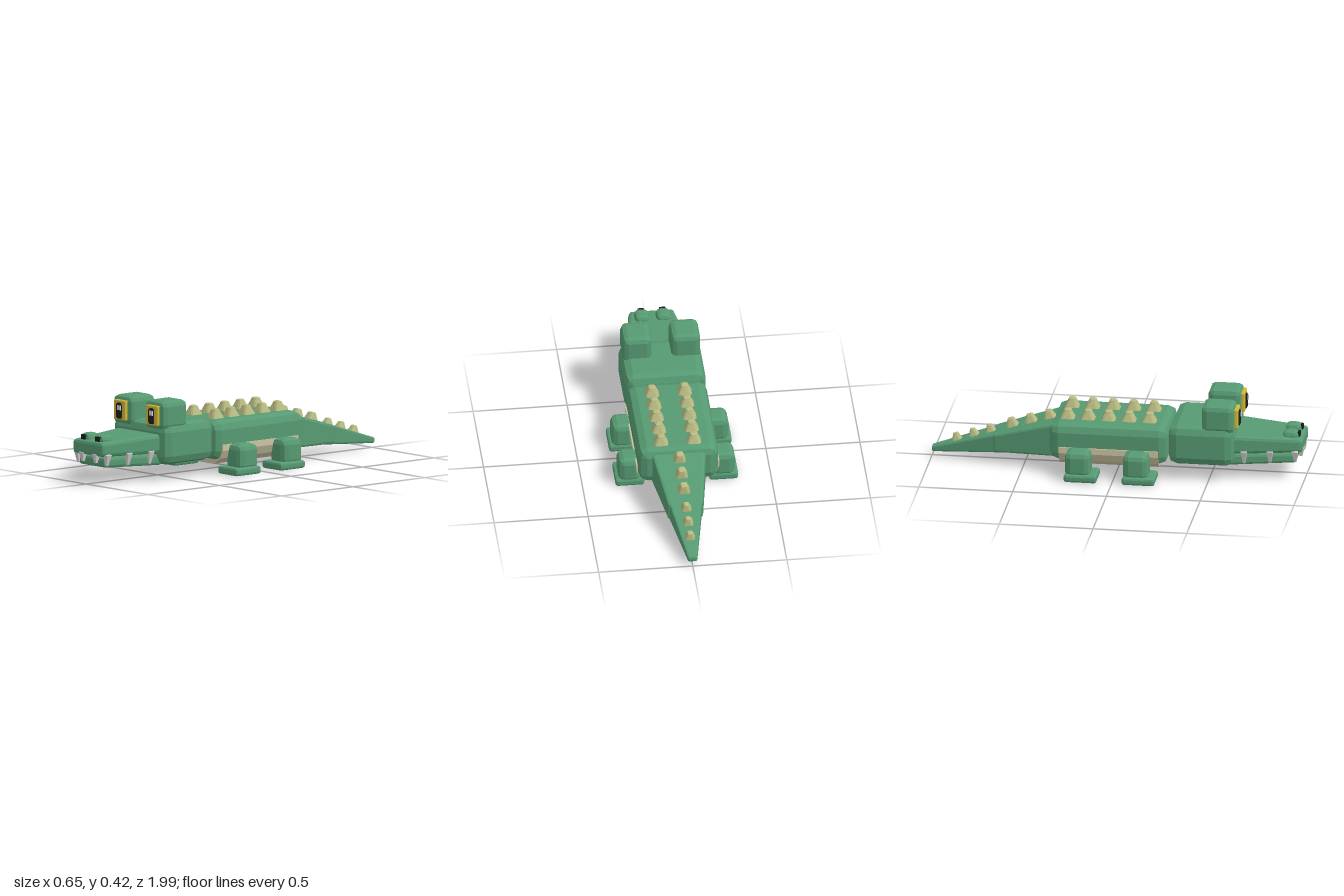
import * as THREE from 'three';

const mat = (name, color) => {
  const m = new THREE.MeshStandardMaterial({ color });
  m.name = name;
  m.flatShading = true;
  return m;
};

// Rounded rectangle ring, counter-clockwise seen from +z
function ring(z, hw, y0, y1, r) {
  const pts = [];
  const corners = [[hw - r, y0 + r, -90], [hw - r, y1 - r, 0], [-hw + r, y1 - r, 90], [-hw + r, y0 + r, 180]];
  for (const [cx, cy, start] of corners) {
    for (let k = 0; k <= 2; k++) {
      const a = THREE.MathUtils.degToRad(start + k * 45);
      pts.push([cx + Math.cos(a) * r, cy + Math.sin(a) * r, z]);
    }
  }
  return pts;
}

// Bevelled block between a back and a front rectangle: [z, halfWidth, bottom, top]
function block(back, front, r) {
  const rings = [];
  const add = ([z, hw, y0, y1], deg, dir) => {
    const a = THREE.MathUtils.degToRad(deg);
    const e = r * (1 - Math.sin(a));
    rings.push(ring(z + dir * r * (1 - Math.cos(a)), hw - e, y0 + e, y1 - e, r - e + r * 0.03));
  };
  for (const d of [0, 45, 90]) add(back, d, 1);
  for (const d of [90, 45, 0]) add(front, d, -1);
  const pos = [];
  const tri = (a, b, c) => pos.push(...a, ...b, ...c);
  const n = rings[0].length;
  for (let s = 0; s < rings.length - 1; s++) {
    for (let i = 0; i < n; i++) {
      const j = (i + 1) % n, a = rings[s], b = rings[s + 1];
      tri(a[i], a[j], b[j]);
      tri(a[i], b[j], b[i]);
    }
  }
  const first = rings[0], last = rings[rings.length - 1];
  for (let i = 1; i < n - 1; i++) {
    tri(last[0], last[i], last[i + 1]);
    tri(first[0], first[i + 1], first[i]);
  }
  const g = new THREE.BufferGeometry();
  g.setAttribute('position', new THREE.Float32BufferAttribute(pos, 3));
  g.computeVertexNormals();
  return g;
}

// Straight bevelled box from its extents
function slab(x0, x1, y0, y1, z0, z1, r) {
  const hw = (x1 - x0) / 2;
  return block([z0, hw, y0, y1], [z1, hw, y0, y1], r).translate((x0 + x1) / 2, 0, 0);
}

// Square peg along z that narrows from one end to the other
const peg = (base, tip, length, r) =>
  block([0, base / 2, -base / 2, base / 2], [length, tip / 2, -tip / 2, tip / 2], r);

export function createModel() {
  const model = new THREE.Group();
  model.name = 'crocodile';
  const green = mat('skin green', 0x569a72);
  const beige = mat('belly beige', 0xcbc4a2);
  const khaki = mat('spike khaki', 0xb8ba82);
  const yellow = mat('eye yellow', 0xd0b936);
  const black = mat('black', 0x1c1c1c);
  const white = mat('tooth white', 0xd0d0d0);

  const add = (name, geo, material, x = 0, y = 0, z = 0) => {
    const m = new THREE.Mesh(geo, material);
    m.name = name;
    m.position.set(x, y, z);
    model.add(m);
    return m;
  };

  // Trunk and head
  add('body', slab(-0.213, 0.213, 0.078, 0.285, -0.347, 0.282, 0.046), green);
  add('head', slab(-0.216, 0.216, 0.085, 0.305, 0.286, 0.635, 0.045), green);

  // Belly plate with square ends and sloped flanks
  const flank = [[0.155, 0.054], [0.2, 0.085], [0.221, 0.128], [0.221, 0.16]];
  const outline = [...flank, ...flank.map(([x, y]) => [-x, y]).reverse()].map(([x, y]) => new THREE.Vector2(x, y));
  const bellyGeo = new THREE.ExtrudeGeometry(new THREE.Shape(outline), { depth: 0.53, bevelEnabled: false });
  add('belly', bellyGeo, beige, 0, 0, -0.295);

  // Tail in two tapering pieces
  add('tailBase', block([-0.665, 0.094, 0.066, 0.166], [-0.3, 0.146, 0.078, 0.264], 0.012), green);
  add('tailTip', block([-1, 0.026, 0.028, 0.061], [-0.5, 0.112, 0.075, 0.209], 0.01), green);

  // Jaws
  add('upperSnout', block([0.6, 0.175, 0.148, 0.25], [0.99, 0.122, 0.155, 0.232], 0.018), green);
  add('lowerJaw', block([0.6, 0.158, 0.083, 0.143], [0.957, 0.108, 0.094, 0.147], 0.014), green);

  for (const s of [-1, 1]) {
    const side = s > 0 ? 'left' : 'right';
    const mx = (a, b) => (s > 0 ? [a, b] : [-b, -a]);

    // Eyes
    add(side + 'EyeSocket', slab(...mx(0.052, 0.206), 0.27, 0.425, 0.463, 0.638, 0.028), green);
    add(side + 'Iris', slab(...mx(0.081, 0.177), 0.295, 0.402, 0.61, 0.655, 0.006), yellow);
    add(side + 'Pupil', slab(...mx(0.105, 0.154), 0.3, 0.391, 0.625, 0.664, 0.015), black);
    add(side + 'EyeGlint', new THREE.BoxGeometry(0.025, 0.025, 0.008), white, s * 0.129 + 0.009, 0.363, 0.664);

    // Nostrils
    add(side + 'Nostril', slab(...mx(0.019, 0.095), 0.205, 0.264, 0.88, 0.965, 0.022), green);
    add(side + 'NostrilHole', new THREE.BoxGeometry(0.033, 0.026, 0.02), black, s * 0.057, 0.244, 0.962);

    // Teeth, hanging from the upper jaw
    const tooth = (x, y, z, len, tilt) => {
      const t = add(side + 'Tooth', peg(0.034, 0.015, len, 0.002).rotateX(Math.PI / 2), white, x * s, y, z);
      t.rotation.z = -tilt * s;
    };
    tooth(0.052, 0.167, 0.975, 0.05, 0);
    tooth(0.119, 0.168, 0.952, 0.062, 0.12);
    tooth(0.136, 0.168, 0.82, 0.068, 0.13);
    tooth(0.156, 0.168, 0.685, 0.072, 0.14);

    // Legs and feet
    for (const [end, z] of [['Front', 0.142], ['Back', -0.167]]) {
      add(side + end + 'Leg', slab(...mx(0.19, 0.31), 0.02, 0.163, z - 0.085, z + 0.05, 0.03), green);
      add(side + end + 'Foot', slab(...mx(0.172, 0.326), 0.002, 0.044, z - 0.087, z + 0.087, 0.012), green);
    }

    // Paired back spikes
    for (let i = 0; i < 5; i++) {
      add('backSpike', peg(0.08, 0.046, 0.07, 0.015).rotateX(-Math.PI / 2), khaki, s * 0.087, 0.265, 0.172 - i * 0.109);
    }
  }

  // Single row of spikes down the tail
  const tailSpikes = [[-0.365, 0.228], [-0.465, 0.2], [-0.565, 0.172], [-0.682, 0.14], [-0.772, 0.113], [-0.862, 0.084]];
  tailSpikes.forEach(([z, y], i) => {
    const size = i < 3 ? 0.068 : 0.056;
    const spike = add('tailSpike', peg(size, size * 0.6, size * 0.93, 0.011).rotateX(-Math.PI / 2), khaki, 0, y, z);
    spike.rotation.x = -0.28;
  });

  return model;
}
